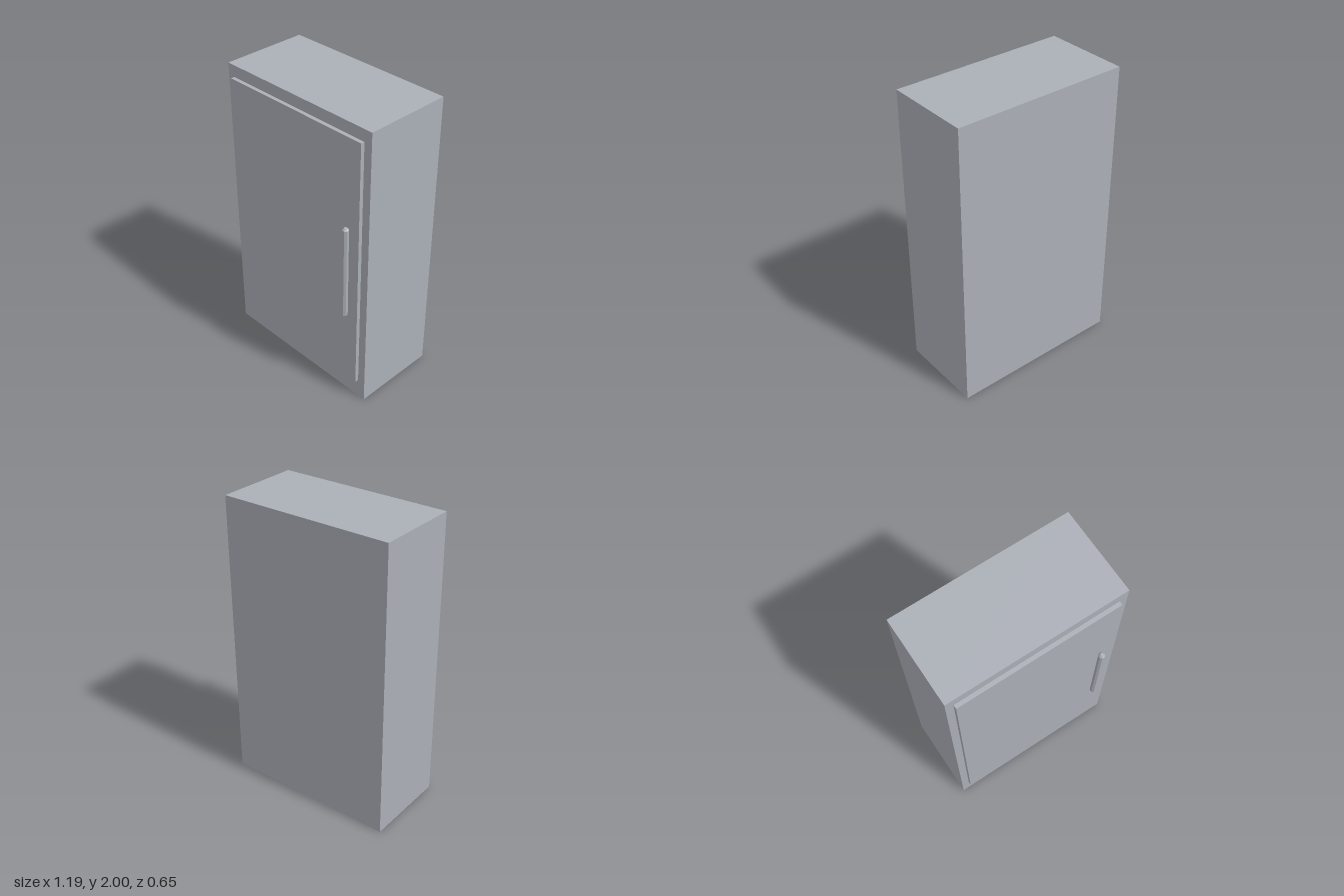
import * as THREE from 'three';

export function createModel() {
  const group = new THREE.Group();
  const paint = new THREE.MeshStandardMaterial({ color: 0xabafb7 });
  paint.name = 'grey paint';

  const add = (name, geometry, x, y, z) => {
    const mesh = new THREE.Mesh(geometry, paint);
    mesh.name = name;
    mesh.position.set(x, y, z);
    group.add(mesh);
    return mesh;
  };

  // Cabinet body and the thin door panel on its front
  add('cabinetBody', new THREE.BoxGeometry(1.194, 2, 0.585), 0, 1, -0.0345);
  add('door', new THREE.BoxGeometry(1.088, 1.784, 0.027), -0.002, 1.03, 0.2705);

  // Upright eight-sided handle with bevelled ends
  const r = 0.0222, h = 0.331, bevel = 0.012;
  const profile = [
    [0, -h], [0.011, -h], [r, -h + bevel], [r, h - bevel], [0.011, h], [0, h],
  ].map(([x, y]) => new THREE.Vector2(x, y));
  const bar = new THREE.LatheGeometry(profile, 8, Math.PI / 8).toNonIndexed();
  bar.computeVertexNormals(); // flat facets
  add('handle', bar, 0.455, 1.001, 0.305);

  return group;
}
